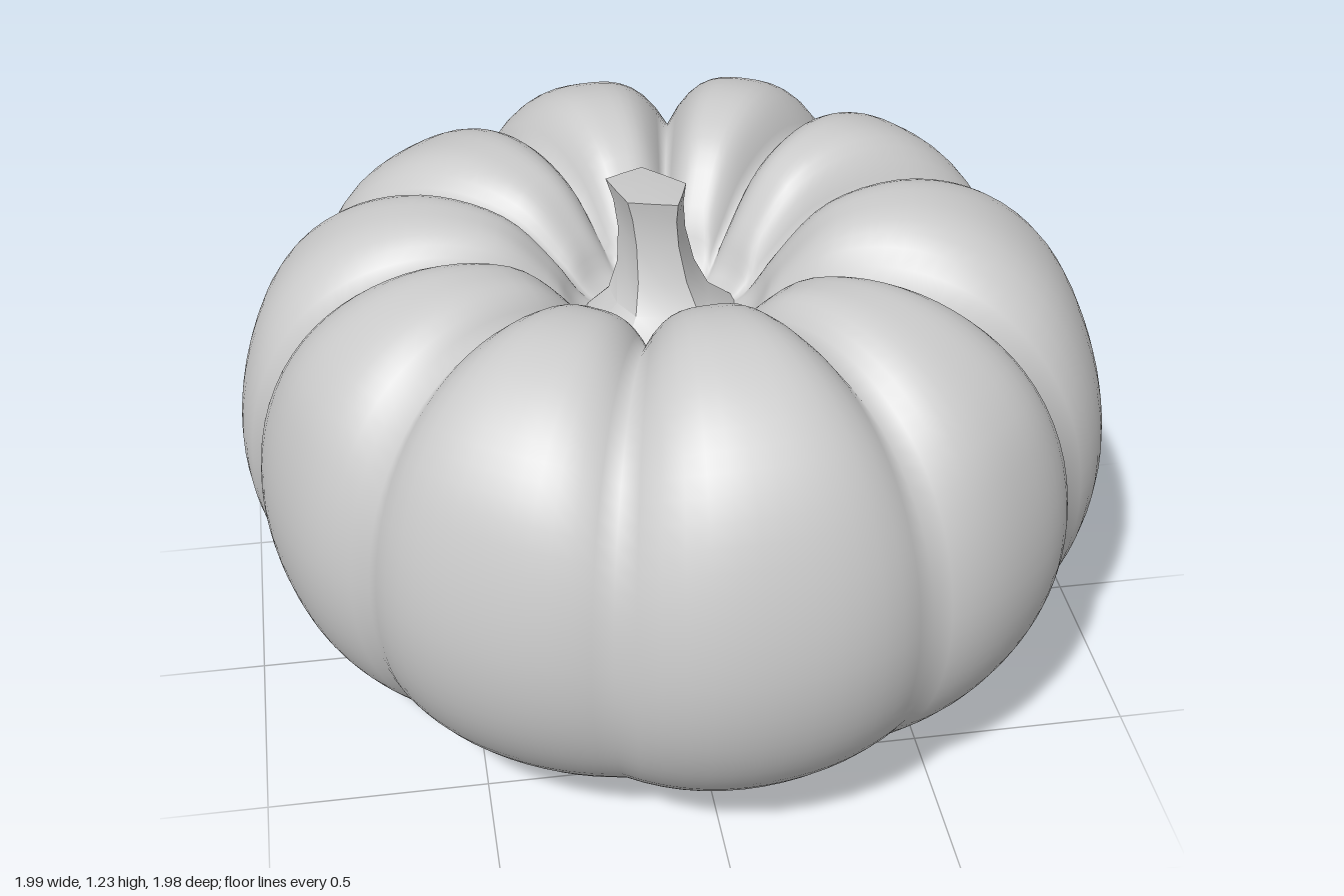
import * as THREE from 'three';
import { toCreasedNormals } from 'three/addons/utils/BufferGeometryUtils.js';

const STEPS = 14; // columns per rib
const ROWS = 64; // rows from the top dish to the base

// Directions of the grooves (degrees from +x towards +z) and their radius at the waist
const grooves = [
  [-50, 0.915], [-15, 0.94], [30, 0.945], [63, 0.935], [106, 0.915],
  [144, 0.9], [177, 0.95], [210, 0.95], [244.5, 0.95], [278.6, 0.93],
];
// Radius and upper height scale of the rib that follows each groove
const ribs = [
  [0.965, 1], [1, 1], [0.98, 0.93], [0.99, 0.98], [0.95, 0.93],
  [0.96, 0.92], [1, 0.93], [1, 0.93], [1, 0.98], [0.995, 1],
];

const curve = (pts) =>
  new THREE.CatmullRomCurve3(pts.map(([r, y]) => new THREE.Vector3(r, y, 0)), false, 'centripetal');

// Profile along the crest of a rib, and the matching one along a groove
const crest = curve([
  [0, 0.92], [0.18, 0.93], [0.25, 1.05], [0.37, 1.18], [0.54, 1.22], [0.71, 1.175],
  [0.86, 1.05], [0.96, 0.85], [1, 0.63], [0.975, 0.44], [0.9, 0.29], [0.76, 0.15],
  [0.57, 0.045], [0.36, 0.005], [0.16, 0.04], [0, 0.07],
]);
const valley = curve([
  [0, 0.92], [0.18, 0.92], [0.27, 0.98], [0.39, 1.06], [0.55, 1.09], [0.71, 1.06],
  [0.85, 0.97], [0.96, 0.81], [1, 0.62], [0.985, 0.45], [0.92, 0.3], [0.78, 0.16],
  [0.58, 0.06], [0.36, 0.025], [0.16, 0.045], [0, 0.07],
]);

function bodyGeometry() {
  const cols = grooves.length * STEPS;
  const pos = [], index = [];
  for (let j = 0; j <= ROWS; j++) {
    const t = j / ROWS;
    const c = crest.getPoint(t), v = valley.getPoint(t);
    // Grooves are narrow above and soften towards the base
    const power = THREE.MathUtils.lerp(3, 2, THREE.MathUtils.smoothstep(t, 0.45, 0.75));
    for (let i = 0; i < cols; i++) {
      const k = Math.floor(i / STEPS), n = (k + 1) % grooves.length;
      const f = (i % STEPS) / STEPS;
      const end = grooves[n][0] + (n === 0 ? 360 : 0);
      const a = THREE.MathUtils.degToRad(THREE.MathUtils.lerp(grooves[k][0], end, f));
      const w = Math.abs(2 * f - 1) ** power;
      const notch = f < 0.5 ? grooves[k][1] : grooves[n][1];
      const [size, height] = ribs[k];
      const crestY = c.y > 0.93 ? 0.93 + (c.y - 0.93) * (1 - (1 - height) * 2.5) : c.y;
      const r = THREE.MathUtils.lerp(c.x * size, v.x * notch, w);
      const y = THREE.MathUtils.lerp(crestY, v.y, w);
      const shift = 0.02 * (1 - Math.min(1, r));
      pos.push(r * Math.cos(a) - shift, y, r * Math.sin(a) + shift);
      if (j < ROWS) {
        const p = j * cols + i, q = j * cols + ((i + 1) % cols);
        index.push(p, q, p + cols, q, q + cols, p + cols);
      }
    }
  }
  const g = new THREE.BufferGeometry();
  g.setAttribute('position', new THREE.Float32BufferAttribute(pos, 3));
  g.setIndex(index);
  g.computeVertexNormals();
  return g;
}

// Five-cornered stalk that flares into a rounder foot and leans slightly
function stemGeometry() {
  const profile = [
    [0.21, 0.89], [0.17, 0.935], [0.12, 0.975], [0.092, 1.04],
    [0.08, 1.12], [0.083, 1.18], [0.095, 1.225], [0, 1.23],
  ].map(([r, y]) => new THREE.Vector2(r, y));
  const g = new THREE.LatheGeometry(profile, 10, Math.PI);
  const p = g.attributes.position;
  for (let i = 0; i < p.count; i++) {
    const y = p.getY(i);
    const h = THREE.MathUtils.clamp((y - 0.89) / 0.34, 0, 1);
    const column = Math.floor(i / profile.length);
    const s = column % 2 ? THREE.MathUtils.lerp(1, 0.82, Math.min(1, h * 2)) : 1;
    const x = p.getX(i) * s, z = p.getZ(i) * s;
    p.setXYZ(i, x - 0.015 - 0.03 * h, y - 0.15 * x * h, z + 0.015 - 0.055 * h);
  }
  return toCreasedNormals(g, 0.6);
}

export function createModel() {
  const group = new THREE.Group();
  const material = new THREE.MeshStandardMaterial({ color: 0xcccccc });
  const add = (name, geometry) => {
    const mesh = new THREE.Mesh(geometry, material);
    mesh.name = name;
    group.add(mesh);
    return mesh;
  };
  add('ribbedBody', bodyGeometry());
  add('stem', stemGeometry());

  // Small nub in the hollow underneath
  const nub = add('bottomNub', new THREE.ConeGeometry(0.035, 0.06, 10));
  nub.rotation.x = Math.PI;
  nub.position.set(-0.02, 0.055, 0.02);
  return group;
}
